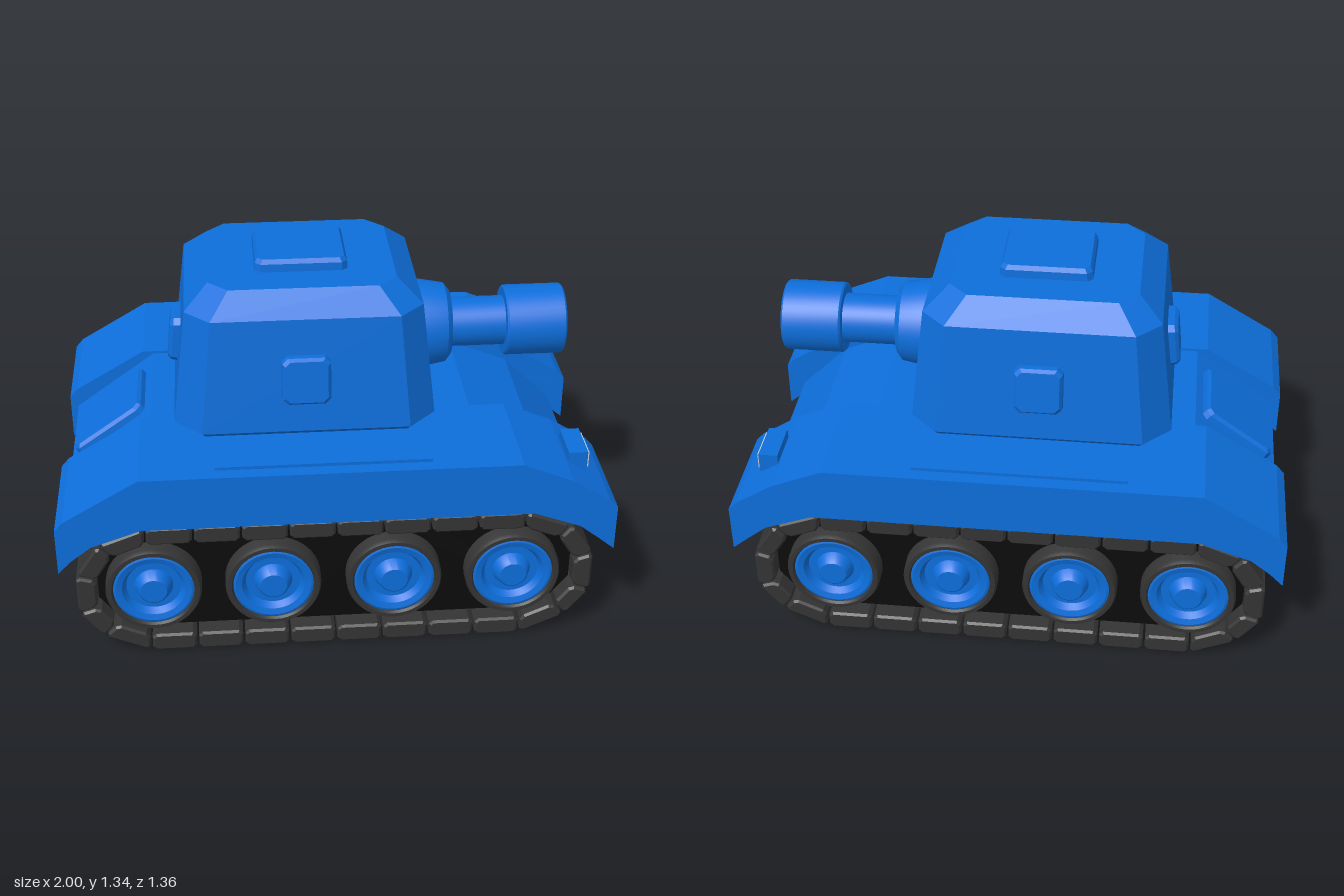
import * as THREE from 'three';
import { toCreasedNormals } from 'three/addons/utils/BufferGeometryUtils.js';

const paint = (name, color) => {
  const m = new THREE.MeshStandardMaterial({ color });
  m.name = name;
  return m;
};

// Octagonal ring with cut corners at height y, counter-clockwise from above
const ring = (x0, x1, z, c, y) => [
  [x1, z - c], [x1, c - z], [x1 - c, -z], [x0 + c, -z],
  [x0, c - z], [x0, z - c], [x0 + c, z], [x1 - c, z],
].map(([x, w]) => [x, y, w]);

// Closed faceted solid through a stack of rings
function loft(rings) {
  const pos = [];
  const tri = (a, b, c) => pos.push(...a, ...b, ...c);
  const n = rings[0].length;
  for (let r = 0; r + 1 < rings.length; r++) {
    const a = rings[r], b = rings[r + 1];
    for (let i = 0; i < n; i++) {
      const j = (i + 1) % n;
      tri(a[i], a[j], b[j]);
      tri(a[i], b[j], b[i]);
    }
  }
  const lo = rings[0], hi = rings[rings.length - 1];
  for (let i = 1; i < n - 1; i++) {
    tri(hi[0], hi[i], hi[i + 1]);
    tri(lo[0], lo[i + 1], lo[i]);
  }
  const g = new THREE.BufferGeometry();
  g.setAttribute('position', new THREE.Float32BufferAttribute(pos, 3));
  g.computeVertexNormals();
  return g;
}

// Thin hatch plate with softened edges, facing +y
function plate(w, d, t) {
  const level = (s, c, y) => ring(-w / 2 + s, w / 2 - s, d / 2 - s, c, y);
  return loft([level(0, 0.02, -0.02), level(0.004, 0.02, t * 0.65), level(0.014, 0.018, t)]);
}

// Side profile extruded along z, centred on z = 0
function slab(points, depth, bevel = 0) {
  const shape = new THREE.Shape(points.map(([x, y]) => new THREE.Vector2(x, y)));
  const g = new THREE.ExtrudeGeometry(shape, {
    depth: depth - 2 * bevel, bevelEnabled: bevel > 0, bevelSize: bevel,
    bevelThickness: bevel, bevelOffset: -bevel, bevelSegments: 1,
  });
  return g.translate(0, 0, -depth / 2 + bevel);
}

const lathe = (points, sides = 40) => toCreasedNormals(
  new THREE.LatheGeometry(points.map(([r, y]) => new THREE.Vector2(r, y)), sides), 0.5);

export function createModel() {
  const root = new THREE.Group();
  root.name = 'tank';
  const blue = paint('blue paint', 0x0d6edb);
  const rubber = paint('dark grey rubber', 0x343434);
  const black = paint('black', 0x0c0c0c);
  const glass = paint('light grey lamp', 0xcfcfcf);

  const add = (name, geometry, material, x = 0, y = 0, z = 0, parent = root) => {
    const m = new THREE.Mesh(geometry, material);
    m.name = name;
    m.position.set(x, y, z);
    parent.add(m);
    return m;
  };

  // Hull between the tracks
  add('hull', slab([
    [-0.75, 0.08], [0.75, 0.08], [0.935, 0.28], [0.935, 0.5], [0.75, 0.68],
    [0.52, 0.77], [-0.66, 0.765], [-0.97, 0.54], [-0.97, 0.28],
  ], 0.512), blue);
  add('engineHatch', plate(0.32, 0.32, 0.035), blue, -0.815, 0.653).rotation.z = 0.617;

  // Track outline: eight flat links above and below, stepped ends
  const path = [];
  for (let i = 0; i <= 8; i++) path.push([-0.69 + i * 0.17125, 0.55]);
  path.push([0.85, 0.485], [0.937, 0.355], [0.937, 0.19], [0.85, 0.08]);
  for (let i = 8; i >= 0; i--) path.push([-0.69 + i * 0.17125, 0.005]);
  path.push([-0.86, 0.08], [-0.945, 0.19], [-0.945, 0.355], [-0.86, 0.485]);
  const inset = ([x, y]) => [
    Math.abs(x) > 0.69 ? Math.sign(x) * (0.69 + (Math.abs(x) - 0.69) * 0.72) : x,
    0.278 + (y - 0.278) * 0.74,
  ];
  const mix = (a, b, d) => {
    const t = d / Math.hypot(b[0] - a[0], b[1] - a[1]);
    return [a[0] + (b[0] - a[0]) * t, a[1] + (b[1] - a[1]) * t];
  };
  const links = path.map((a, i) => {
    const b = path[(i + 1) % path.length];
    const ia = inset(a), ib = inset(b);
    const quad = [mix(a, b, 0.004), mix(b, a, 0.004), mix(ib, ia, 0.004), mix(ia, ib, 0.004)];
    const cut = quad.flatMap((p, k) => [mix(p, quad[(k + 3) % 4], 0.014), mix(p, quad[(k + 1) % 4], 0.014)]);
    return slab(cut, 0.39, 0.008);
  });
  const core = slab(path.map(inset), 0.31);

  // Road wheel profiles, axis +y pointing outwards
  const tyre = lathe([[0.175, -0.1], [0.175, 0.02], [0.168, 0.035], [0.153, 0.035], [0.147, 0.025], [0.147, -0.03]]);
  const rim = lathe([
    [0.149, -0.03], [0.149, 0.022], [0.138, 0.026], [0.115, 0.02], [0.1, -0.005],
    [0.07, -0.005], [0.055, 0.03], [0.048, 0.036], [0, 0.036],
  ]);

  const fender = slab([
    [-1, 0.4], [-1, 0.58], [-0.97, 0.615], [-0.7, 0.775], [0.65, 0.775], [0.83, 0.7],
    [0.97, 0.612], [1, 0.58], [1, 0.4], [0.94, 0.45], [0.87, 0.505], [0.7, 0.568],
    [-0.7, 0.568], [-0.88, 0.505], [-0.95, 0.45],
  ], 0.425);

  for (const s of [1, -1]) {
    const side = new THREE.Group();
    side.name = s > 0 ? 'leftTrack' : 'rightTrack';
    root.add(side);
    links.forEach((g) => add('trackLink', g, rubber, 0, 0, s * 0.453, side));
    add('trackCore', core, black, 0, 0, s * 0.425, side);
    for (const x of [-0.67, -0.235, 0.207, 0.645]) {
      const wheel = new THREE.Group();
      wheel.name = 'roadWheel';
      wheel.position.set(x, 0.275, s * 0.61);
      wheel.rotation.x = s * Math.PI / 2;
      add('tyre', tyre, rubber, 0, 0, 0, wheel);
      add('rim', rim, blue, 0, 0, 0, wheel);
      side.add(wheel);
    }

    // Fender with its trim rail and headlamp
    add('fender', fender, blue, 0, 0, s * 0.4675);
    add('fenderRail', new THREE.BoxGeometry(0.765, 0.02, 0.008), blue, -0.048, 0.777, s * 0.627);
    add('headlampHousing', new THREE.BoxGeometry(0.07, 0.075, 0.165), blue, 0.875, 0.693, s * 0.46);
    add('headlamp', new THREE.BoxGeometry(0.02, 0.06, 0.137), glass, 0.908, 0.69, s * 0.46);
  }

  // Turret
  add('turretRing', new THREE.CylinderGeometry(0.33, 0.33, 0.05, 32), blue, -0.095, 0.775);
  add('turret', loft([
    ring(-0.56, 0.37, 0.41, 0.1, 0.78), ring(-0.572, 0.38, 0.422, 0.1, 0.795),
    ring(-0.52, 0.332, 0.375, 0.09, 1.22), ring(-0.433, 0.242, 0.287, 0.07, 1.3),
  ]), blue);
  add('roofHatch', plate(0.34, 0.31, 0.045), blue, -0.095, 1.3);
  const lean = Math.PI / 2 - 0.105;
  for (const s of [1, -1]) {
    add('sideHatch', plate(0.18, 0.185, 0.035), blue, -0.095, 0.997, s * 0.4).rotation.x = s * lean;
  }
  add('rearHatch', plate(0.18, 0.18, 0.035), blue, -0.548, 0.997).rotation.z = lean;

  // Gun along +x: mantlet, barrel and hollow muzzle
  const gun = new THREE.Group();
  gun.name = 'gun';
  gun.position.y = 0.995;
  gun.rotation.z = -Math.PI / 2;
  root.add(gun);
  add('mantlet', lathe([[0.168, 0.3], [0.168, 0.35], [0.15, 0.45], [0.125, 0.47], [0, 0.47]]), blue, 0, 0, 0, gun);
  add('barrel', lathe([[0.093, 0.45], [0.093, 0.69]]), blue, 0, 0, 0, gun);
  add('muzzle', lathe([
    [0, 0.675], [0.127, 0.675], [0.133, 0.682], [0.133, 0.893], [0.127, 0.9], [0.105, 0.9], [0.105, 0.83],
  ]), blue, 0, 0, 0, gun);
  add('bore', new THREE.CylinderGeometry(0.106, 0.106, 0.008, 40), black, 0, 0.84, 0, gun);

  return root;
}
